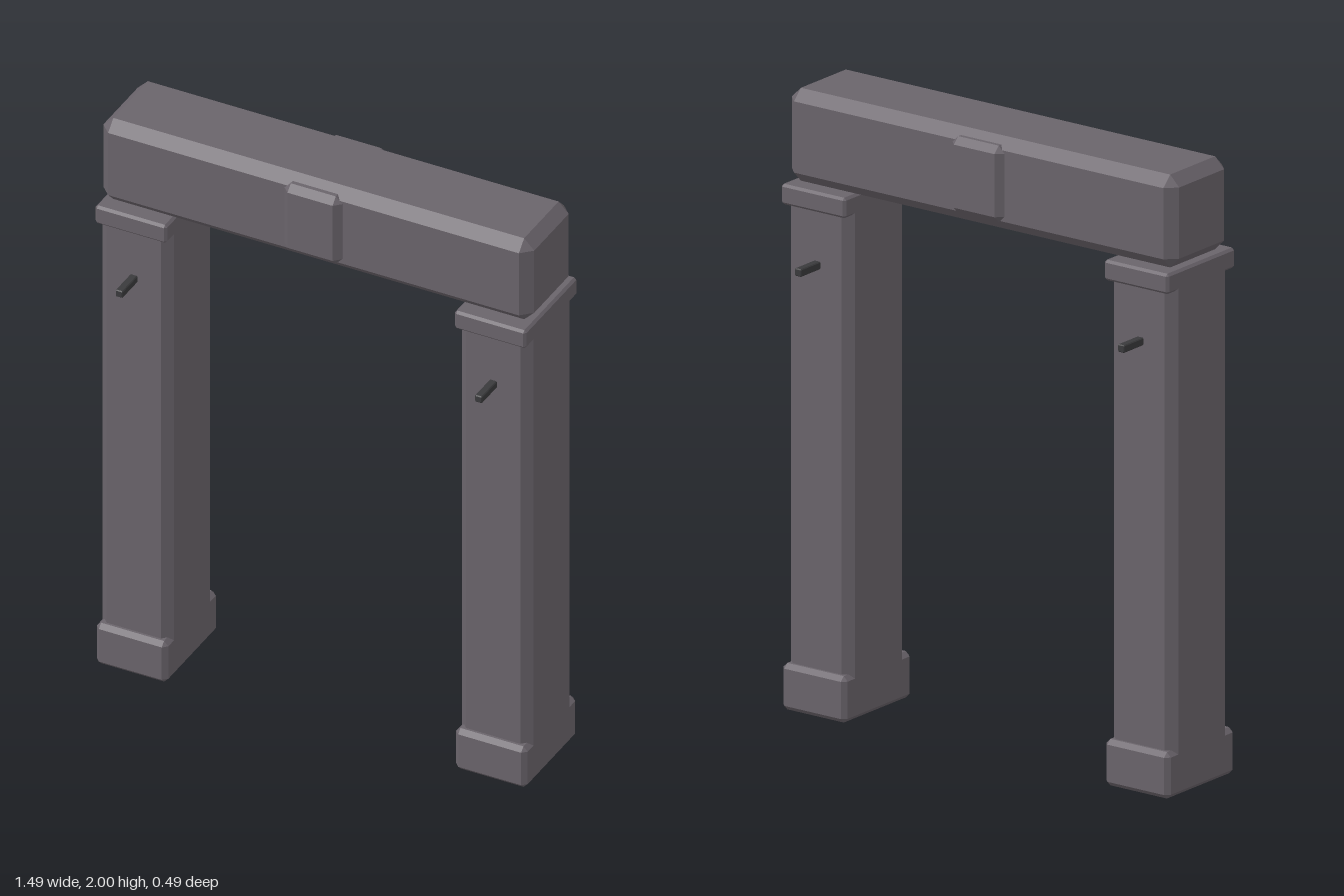
import * as THREE from 'three';
import { ConvexGeometry } from 'three/addons/geometries/ConvexGeometry.js';

// Box with every edge cut by a flat chamfer c
function chamferBox(w, h, d, c) {
  const points = [];
  for (const sx of [-1, 1]) for (const sy of [-1, 1]) for (const sz of [-1, 1]) {
    const x = sx * w / 2, y = sy * h / 2, z = sz * d / 2;
    points.push(
      new THREE.Vector3(x, y - sy * c, z - sz * c),
      new THREE.Vector3(x - sx * c, y, z - sz * c),
      new THREE.Vector3(x - sx * c, y - sy * c, z)
    );
  }
  return new ConvexGeometry(points);
}

export function createModel() {
  const stone = new THREE.MeshStandardMaterial({ color: 0x6a646b, flatShading: true });
  stone.name = 'grey stone';
  const iron = new THREE.MeshStandardMaterial({ color: 0x3a3a3c, flatShading: true });
  iron.name = 'dark iron';

  const model = new THREE.Group();
  model.name = 'stoneGate';

  function add(parent, name, material, w, y0, y1, d, c) {
    const mesh = new THREE.Mesh(chamferBox(w, y1 - y0, d, c), material);
    mesh.name = name;
    mesh.position.y = (y0 + y1) / 2;
    parent.add(mesh);
    return mesh;
  }

  // Two identical pillars with base, capital and a peg on front and back
  for (const side of [-1, 1]) {
    const pillar = new THREE.Group();
    pillar.name = side > 0 ? 'leftPillar' : 'rightPillar';
    pillar.position.x = side * 0.623;
    add(pillar, 'base', stone, 0.248, 0, 0.15, 0.344, 0.015);
    add(pillar, 'shaft', stone, 0.248, 0.02, 1.69, 0.298, 0.03);
    add(pillar, 'capital', stone, 0.248, 1.632, 1.698, 0.344, 0.008);
    for (const face of [-1, 1]) {
      const peg = add(pillar, face > 0 ? 'frontPeg' : 'backPeg', iron, 0.025, 1.442, 1.467, 0.12, 0.003);
      peg.position.z = face * 0.187;
    }
    model.add(pillar);
  }

  // Crossbeam with a raised block in the middle of both faces
  add(model, 'lintel', stone, 1.494, 1.7, 2, 0.298, 0.035);
  add(model, 'keystone', stone, 0.2, 1.73, 1.978, 0.344, 0.022);

  return model;
}
